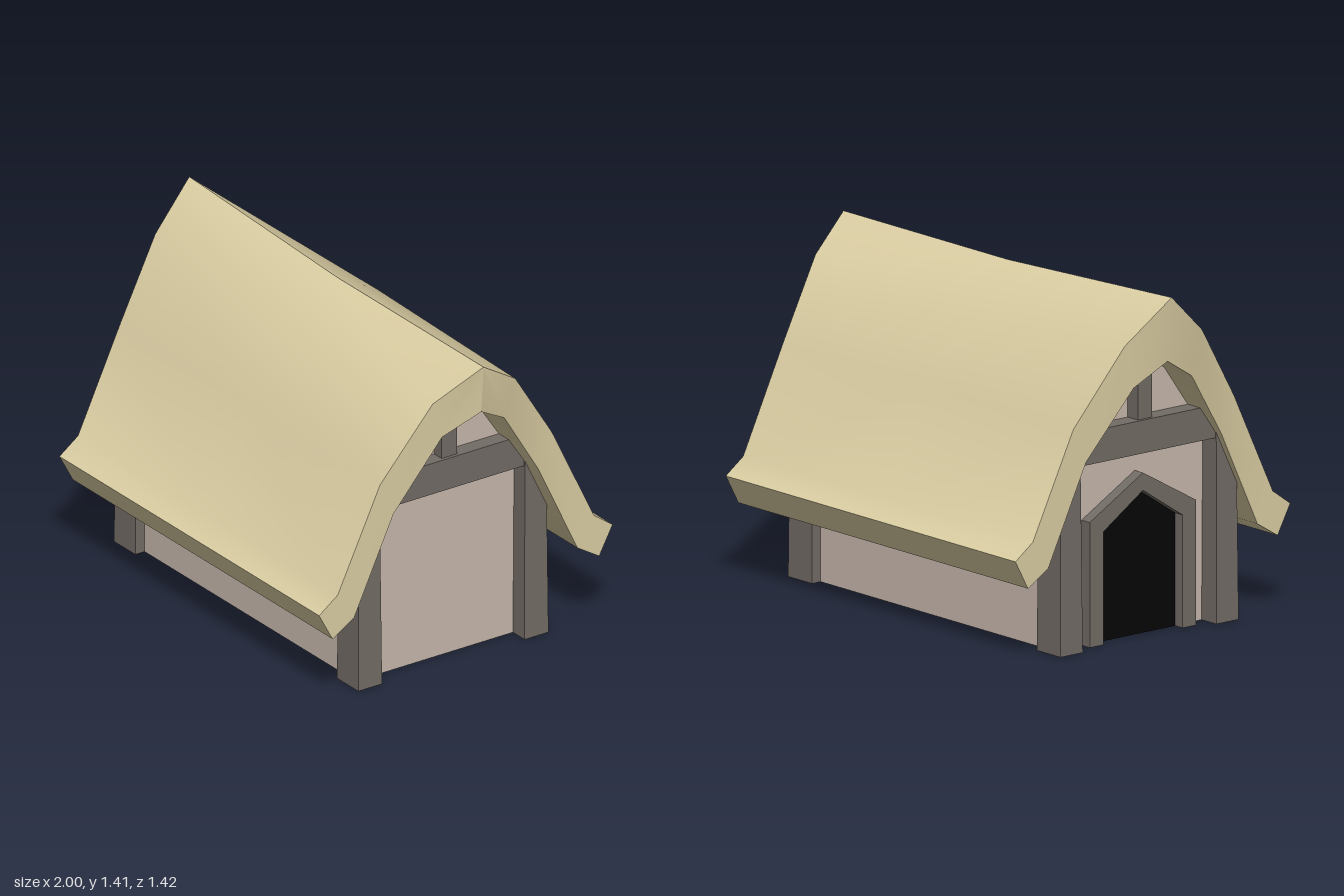
import * as THREE from 'three';
import { toCreasedNormals } from 'three/addons/utils/BufferGeometryUtils.js';

const mat = (color) => new THREE.MeshStandardMaterial({ color, roughness: 1, side: THREE.DoubleSide });
const straw = mat(0xdccfa4), plaster = mat(0xc8b9ad), wood = mat(0x736c66), dark = mat(0x050505);

function add(parent, name, geometry, material, x = 0, y = 0, z = 0) {
  const mesh = new THREE.Mesh(geometry, material);
  mesh.name = name;
  mesh.position.set(x, y, z);
  parent.add(mesh);
  return mesh;
}

function shapeOf(points) {
  return new THREE.Shape(points.map(([x, y]) => new THREE.Vector2(x, y)));
}

// Thatched roof: half profiles [x, y, z] running from the ridge over the eave and back inside
function roofGeometry() {
  const z = [0, 0.2, 0.415, 0.62, 0.71, 0.645, 0.54, 0.35, 0.15, 0];
  const sections = [
    { x: [-1, -0.95, -0.89, -0.885, -0.885, -0.885, -0.885, -0.89, -0.945, -0.975],
      y: [1.415, 1.24, 0.925, 0.5, 0.435, 0.315, 0.38, 0.78, 1.06, 1.15] },
    { x: Array(10).fill(0),
      y: [1.372, 1.26, 0.925, 0.5, 0.435, 0.315, 0.38, 0.78, 1.08, 1.17] },
    { x: [1, 0.935, 0.88, 0.88, 0.88, 0.88, 0.88, 0.88, 0.93, 0.985],
      y: [1.372, 1.24, 0.925, 0.5, 0.435, 0.315, 0.38, 0.78, 1.08, 1.17] },
  ];
  const pos = [];
  for (const side of [1, -1]) {
    const p = (s, i) => [sections[s].x[i], sections[s].y[i], side * z[i]];
    const quad = (a, b, c, d, flip = 1) => {
      const q = side * flip > 0 ? [a, b, c, a, c, d] : [a, c, b, a, d, c];
      q.forEach((v) => pos.push(...v));
    };
    // Thatch skin, top and underside
    for (let s = 0; s < 2; s++)
      for (let i = 0; i < 9; i++) quad(p(s, i), p(s, i + 1), p(s + 1, i + 1), p(s + 1, i));
    // Cut ends at the gables
    for (let i = 0; i < 4; i++) {
      quad(p(2, i), p(2, i + 1), p(2, 8 - i), p(2, 9 - i));
      quad(p(0, i), p(0, i + 1), p(0, 8 - i), p(0, 9 - i), -1);
    }
  }
  const geometry = new THREE.BufferGeometry();
  geometry.setAttribute('position', new THREE.Float32BufferAttribute(pos, 3));
  return toCreasedNormals(geometry, 0.6);
}

// Square post, open below and slightly narrower at the top
function postGeometry(w, h, d, taper) {
  const g = new THREE.CylinderGeometry(taper * Math.SQRT1_2, Math.SQRT1_2, h, 4, 1, true).rotateY(Math.PI / 4);
  g.scale(w, 1, d).translate(0, h / 2, 0);
  return toCreasedNormals(g, 0.3);
}

export function createModel() {
  const house = new THREE.Group();
  house.name = 'thatchedHouse';

  add(house, 'roof', roofGeometry(), straw);

  // Plaster walls, open underneath
  const wallEnds = [-0.775, 0.715], halfDepth = 0.415;
  const length = wallEnds[1] - wallEnds[0], midX = (wallEnds[0] + wallEnds[1]) / 2;
  for (const side of [1, -1]) {
    const wall = add(house, 'sideWall', new THREE.PlaneGeometry(length, 0.7), plaster, midX, 0.35, side * halfDepth);
    if (side < 0) wall.rotation.y = Math.PI;
  }
  const gable = shapeOf([[-halfDepth, 0], [halfDepth, 0], [halfDepth, 0.7], [0.35, 0.85],
    [0.15, 1.13], [0, 1.22], [-0.15, 1.13], [-0.35, 0.85], [-halfDepth, 0.7]]);

  // Each gable has a wall, two corner posts, a cross beam and a king post
  wallEnds.forEach((x, i) => {
    const out = i ? 1 : -1;
    add(house, 'gableWall', new THREE.ShapeGeometry(gable), plaster, x).rotation.y = out * Math.PI / 2;
    const postX = i ? 0.7225 : -0.7925;
    for (const side of [1, -1])
      add(house, 'cornerPost', postGeometry(0.145, 0.78, 0.115, 0.9), wood, postX, 0, side * 0.4025);
    add(house, 'crossBeam', new THREE.BoxGeometry(0.12, 0.135, 0.72), wood, postX, 0.8225, 0);
    add(house, 'kingPost', new THREE.BoxGeometry(0.09, 0.34, 0.074), wood, postX, 1.05, 0);
  });

  // Doorway with a peaked timber frame on the -x gable
  const door = new THREE.Group();
  door.name = 'doorway';
  door.position.x = wallEnds[0];
  door.rotation.y = -Math.PI / 2;
  house.add(door);
  const opening = [[-0.205, 0], [0.205, 0], [0.205, 0.46], [0, 0.595], [-0.205, 0.46]];
  add(door, 'doorOpening', new THREE.ShapeGeometry(shapeOf(opening)), dark, 0, 0, 0.004);
  add(door, 'doorOpeningInside', new THREE.ShapeGeometry(shapeOf(opening)), dark, 0, 0, -0.004);
  const frame = shapeOf([[-0.275, 0], [-0.205, 0], [-0.205, 0.46], [0, 0.595], [0.205, 0.46],
    [0.205, 0], [0.275, 0], [0.275, 0.51], [0, 0.667], [-0.275, 0.51]]);
  add(door, 'doorFrame', new THREE.ExtrudeGeometry(frame, { depth: 0.06, bevelEnabled: false }), wood, 0, 0, -0.01);

  return house;
}
